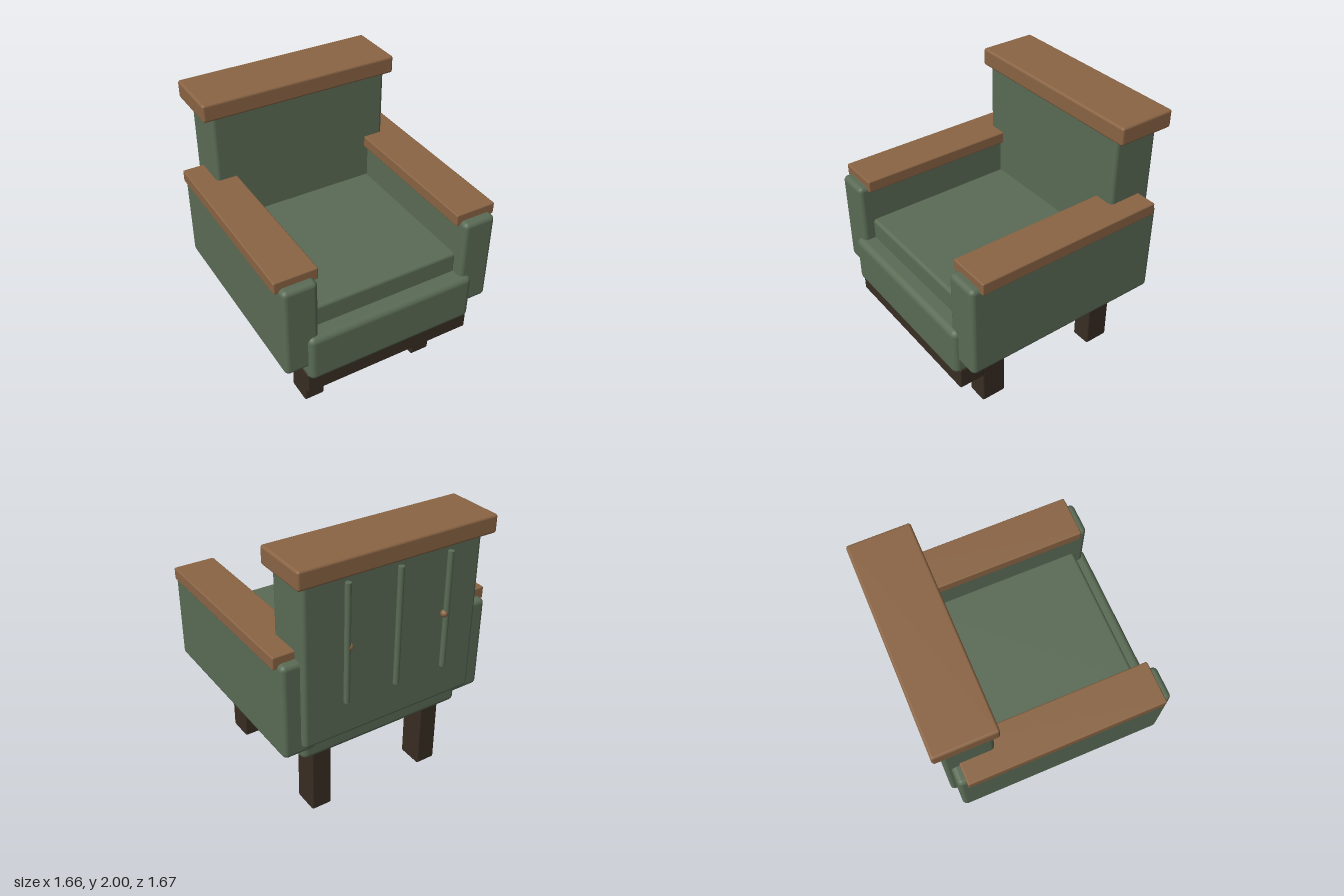
import * as THREE from 'three';
import { RoundedBoxGeometry } from 'three/addons/geometries/RoundedBoxGeometry.js';

function material(name, color) {
  const m = new THREE.MeshStandardMaterial({ color });
  m.name = name;
  return m;
}

export function createModel() {
  const chair = new THREE.Group();
  chair.name = 'armchair';
  const fabric = material('green fabric', 0x5a6b55);
  const wood = material('brown wood', 0x8a6444);
  const darkWood = material('dark wood', 0x382d23);

  function add(name, geometry, mat, x, y, z) {
    const mesh = new THREE.Mesh(geometry, mat);
    mesh.name = name;
    mesh.position.set(x, y, z);
    chair.add(mesh);
  }

  // Rounded block given by its limits on each axis
  function block(name, mat, [x0, x1], [y0, y1], [z0, z1], radius) {
    const geometry = new RoundedBoxGeometry(x1 - x0, y1 - y0, z1 - z0, 3, radius);
    add(name, geometry, mat, (x0 + x1) / 2, (y0 + y1) / 2, (z0 + z1) / 2);
  }

  // Seat, backrest and its top rail
  block('seatBase', fabric, [-0.64, 0.64], [0.52, 0.89], [-0.69, 0.835], 0.045);
  block('seatCushion', fabric, [-0.57, 0.57], [0.75, 1.045], [-0.5, 0.715], 0.025);
  block('backrest', fabric, [-0.675, 0.675], [0.685, 1.92], [-0.77, -0.42], 0.03);
  block('topRail', wood, [-0.737, 0.737], [1.87, 2], [-0.83, -0.4], 0.018);
  block('frontRail', darkWood, [-0.645, 0.645], [0.39, 0.555], [0.605, 0.8], 0.012);

  for (const side of [-1, 1]) {
    const span = (a, b) => (side > 0 ? [a, b] : [-b, -a]);
    const label = side > 0 ? 'left' : 'right';

    // Arm with its wooden rest
    block(label + 'Arm', fabric, span(0.553, 0.8), [0.63, 1.33], [-0.73, 0.8], 0.035);
    block(label + 'Armrest', wood, span(0.522, 0.83), [1.298, 1.387], [-0.672, 0.738], 0.01);

    // Legs
    block(label + 'FrontLeg', darkWood, span(0.38, 0.535), [0, 0.525], [0.35, 0.542], 0.015);
    block(label + 'BackLeg', darkWood, span(0.38, 0.535), [0, 0.525], [-0.63, -0.438], 0.015);

    // Small wooden knob beside the outer rod
    add(label + 'Knob', new THREE.SphereGeometry(0.026, 16, 12), wood, side * 0.37, 1.385, -0.808);
  }

  // Upright rods behind the backrest
  for (const x of [-0.385, 0, 0.385]) {
    add('backRod', new THREE.CylinderGeometry(0.021, 0.021, 0.85, 16), fabric, x, 1.405, -0.81);
  }

  return chair;
}
